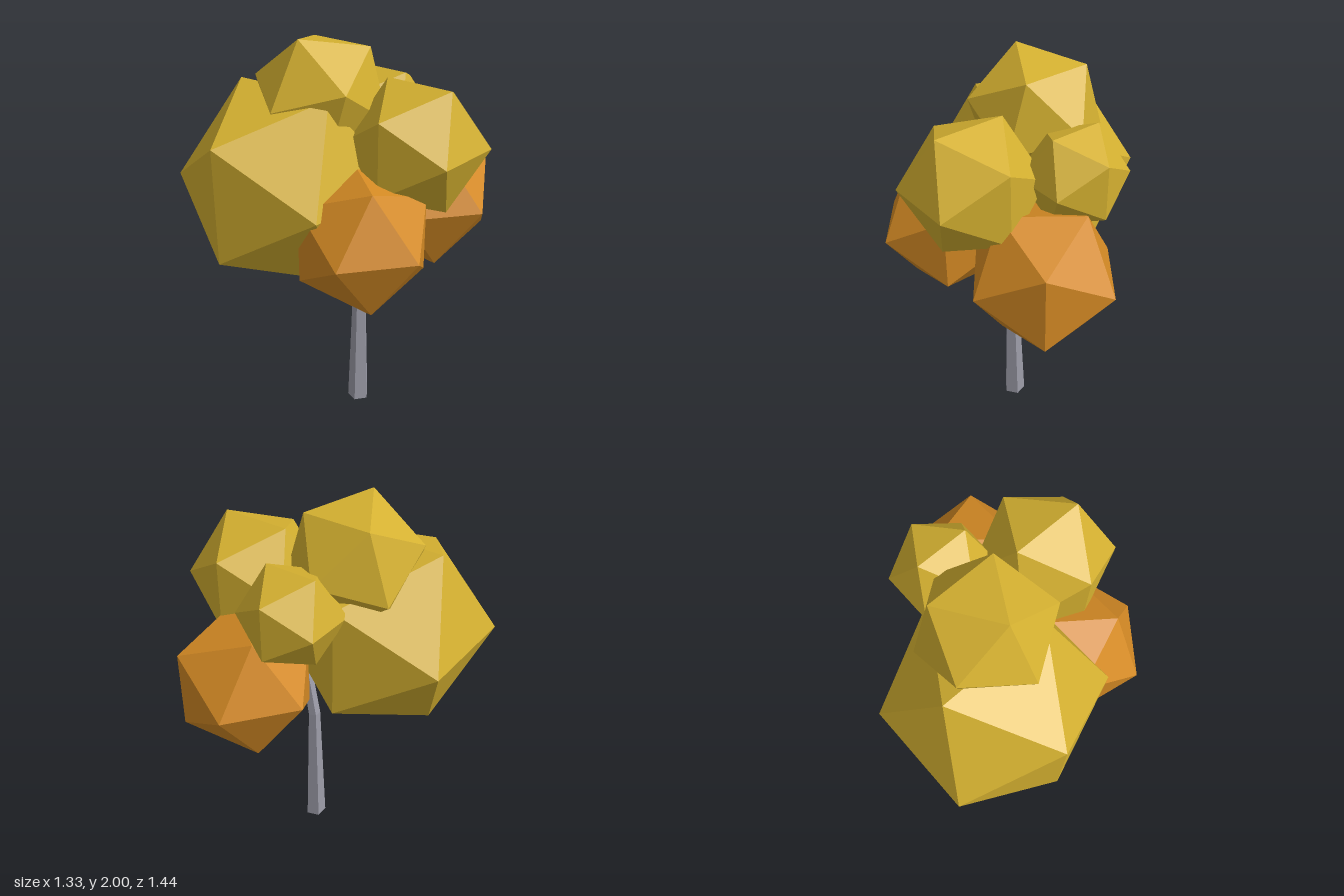
import * as THREE from 'three';

const yellow = new THREE.MeshStandardMaterial({ color: 0xd4b030 });
yellow.name = 'yellow leaves';
const orange = new THREE.MeshStandardMaterial({ color: 0xd48a24 });
orange.name = 'orange leaves';
const grey = new THREE.MeshStandardMaterial({ color: 0x9c9ca8 });
grey.name = 'grey bark';

// Faceted leaf clumps: name, material, radius, centre, rotation about x and y
const clumps = [
  ['largeFrontClump', yellow, 0.547, [-0.2, 1.297, 0.25], 0, 0],
  ['topClump', yellow, 0.341, [-0.11, 1.697, 0.085], -0.56, 0],
  ['leftClump', yellow, 0.344, [0.37, 1.53, -0.05], 0, 0],
  ['smallBackClump', yellow, 0.259, [-0.03, 1.555, -0.3], 0, 0],
  ['lowerFrontClump', orange, 0.356, [0.305, 1.138, 0.266], 0, -0.655],
  ['lowerBackClump', orange, 0.376, [0.208, 1.138, -0.369], 0, -0.655],
];

// Trunk rings from the ground up: height, centre x, radius
const rings = [
  [0, 0.087, 0.058],
  [0.73, 0.092, 0.034],
  [1.2, 0.175, 0.027],
];

// Five-sided tapering trunk that bends near the top
function makeTrunk() {
  const geometry = new THREE.CylinderGeometry(1, 1, 2, 5, 2, false, Math.PI / 2);
  const p = geometry.attributes.position;
  for (let i = 0; i < p.count; i++) {
    const [y, cx, r] = rings[Math.round(p.getY(i)) + 1];
    p.setXYZ(i, cx + r * p.getX(i), y, 0.028 + r * p.getZ(i));
  }
  const faceted = geometry.toNonIndexed();
  faceted.computeVertexNormals();
  const trunk = new THREE.Mesh(faceted, grey);
  trunk.name = 'trunk';
  return trunk;
}

export function createModel() {
  const tree = new THREE.Group();
  tree.name = 'tree';
  tree.add(makeTrunk());

  const foliage = new THREE.Group();
  foliage.name = 'foliage';
  for (const [name, material, radius, centre, rx, ry] of clumps) {
    const clump = new THREE.Mesh(new THREE.IcosahedronGeometry(radius, 0), material);
    clump.name = name;
    clump.position.set(...centre);
    clump.rotation.set(rx, ry, 0);
    foliage.add(clump);
  }
  tree.add(foliage);
  return tree;
}
